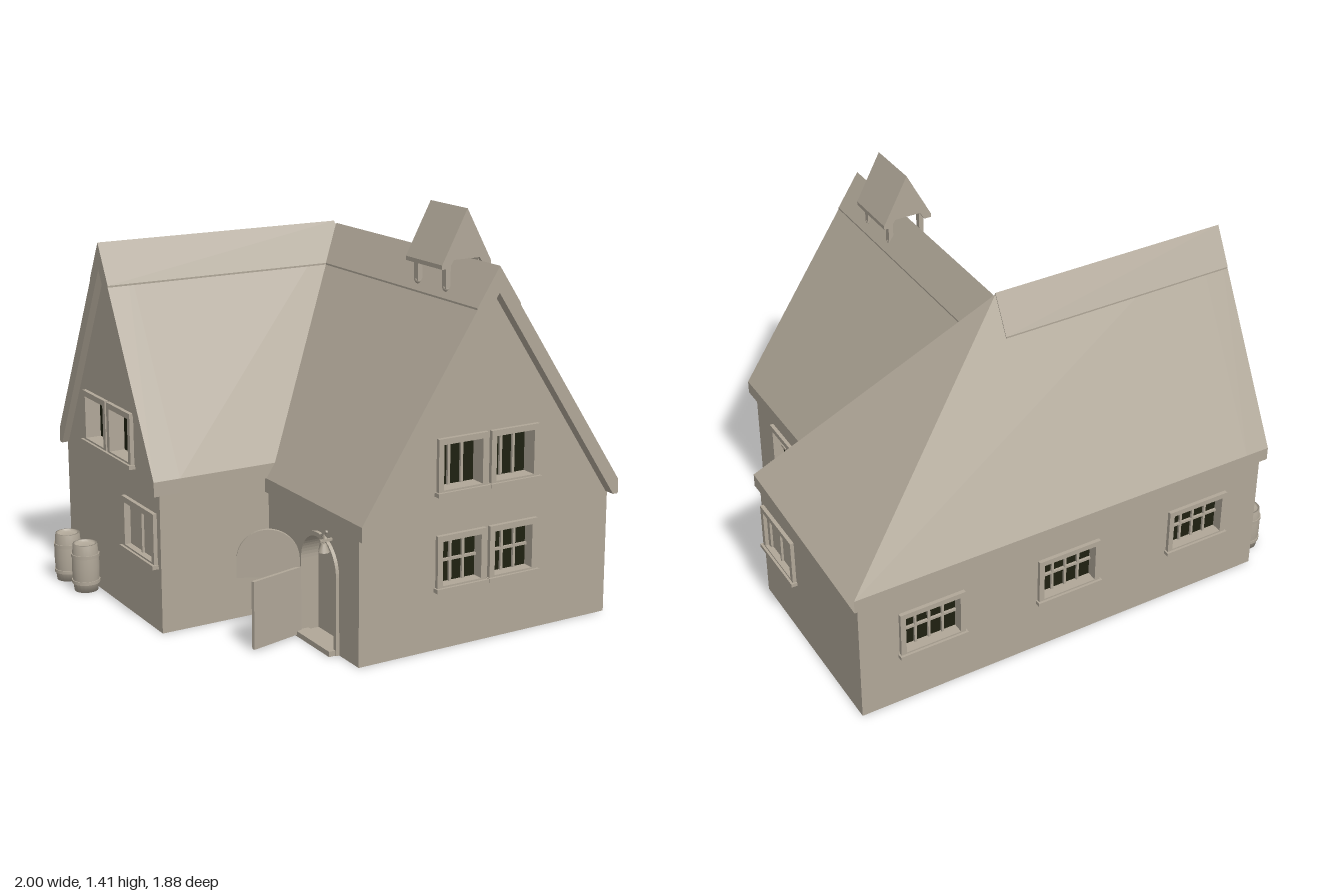
import * as THREE from 'three';

const plaster = new THREE.MeshStandardMaterial({ name: 'taupe plaster', color: 0xb0a798 });
const glassMat = new THREE.MeshStandardMaterial({ name: 'dark glass', color: 0x1e2010 });

function add(parent, name, geo, mat = plaster, x = 0, y = 0, z = 0) {
  const m = new THREE.Mesh(geo, mat);
  m.name = name;
  m.position.set(x, y, z);
  parent.add(m);
  return m;
}
const box = (w, h, d) => new THREE.BoxGeometry(w, h, d);
const poly = (pts) => new THREE.Shape(pts.map(([x, y]) => new THREE.Vector2(x, y)));
const rect = (x, y, w, h) => poly([[x - w / 2, y - h / 2], [x + w / 2, y - h / 2], [x + w / 2, y + h / 2], [x - w / 2, y + h / 2]]);

// Extrude a shape from z0 to z1
function extrude(shape, z0, z1) {
  return new THREE.ExtrudeGeometry(shape, { depth: z1 - z0, bevelEnabled: false, curveSegments: 14 }).translate(0, 0, z0);
}

// Round-headed outline
function arch(x0, x1, y0, spring) {
  const r = (x1 - x0) / 2;
  const s = new THREE.Shape();
  s.moveTo(x0, y0);
  s.lineTo(x1, y0);
  s.lineTo(x1, spring);
  s.absarc(x0 + r, spring, r, 0, Math.PI, false);
  s.lineTo(x0, y0);
  return s;
}

// Wall slab: local x runs along the wall, local z points outward
const WALL = 0.06;
function wall(house, name, angle, x, z, pts, windows = [], door = null) {
  const g = new THREE.Group();
  g.name = name;
  g.rotation.y = angle;
  g.position.set(x, 0, z);
  house.add(g);
  const shape = poly(pts);
  for (const w of windows) shape.holes.push(rect(w.s, w.y, w.w - 0.03, w.h - 0.03));
  if (door) shape.holes.push(door);
  add(g, name + 'Panel', extrude(shape, -WALL, 0));
  windows.forEach((w) => windowUnit(g, w));
  return g;
}

// Framed window with recessed panes, or closed panels when blank
function windowUnit(g, { s, y, w, h, cols, rows = 1, depth = 0.03, blank = false }) {
  const frame = rect(s, y, w, h);
  const iw = w - 0.04, ih = h - 0.04;
  frame.holes.push(rect(s, y, iw, ih));
  add(g, 'windowFrame', extrude(frame, -depth, 0.014));
  add(g, 'windowSill', box(w + 0.012, 0.014, 0.03), plaster, s, y - h / 2 + 0.007, 0.008);
  add(g, blank ? 'shutterPanel' : 'windowPane', box(iw, ih, 0.006), blank ? plaster : glassMat, s, y, -depth);
  for (let i = 1; i < cols; i++)
    add(g, 'mullion', box(0.009, ih, 0.012), plaster, s - iw / 2 + (iw * i) / cols, y, -depth + 0.006);
  for (let i = 1; i < rows; i++)
    add(g, 'glazingBar', box(iw, 0.009, 0.012), plaster, s, y - ih / 2 + (ih * i) / rows, -depth + 0.006);
}

// Pitched roof: solid body, overhanging verge and raised ridge course
function roof(house, name, { half, eave, ridge, thick, back, verge, front, hip = 0 }) {
  const g = new THREE.Group();
  g.name = name;
  house.add(g);
  const low = eave - 0.05, slope = (ridge - eave) / half;
  const body = extrude(poly([[-half, low], [half, low], [half, eave], [0, ridge], [-half, eave]]), back, front);
  // Slant the back end into a hip
  const p = body.attributes.position;
  for (let i = 0; i < p.count; i++)
    if (p.getZ(i) < back + 0.001)
      p.setZ(i, back - hip * Math.min(1, (ridge - p.getY(i)) / (ridge - eave)));
  const flat = body.toNonIndexed ? (body.index ? body.toNonIndexed() : body) : body;
  flat.computeVertexNormals();
  add(g, name + 'Body', flat);
  const inner = (ridge - thick - low) / slope;
  add(g, name + 'Verge', extrude(poly([[-half, low], [-inner, low], [0, ridge - thick], [inner, low],
    [half, low], [half, eave], [0, ridge], [-half, eave]]), front, verge));
  const c = (ridge - 1.12) / slope;
  add(g, name + 'RidgeCourse', extrude(poly([[-c, 1.11], [0, ridge - 0.01], [c, 1.11], [c, 1.126],
    [0, ridge + 0.006], [-c, 1.126]]), back, verge));
  return g;
}

function barrel(parent, x, z) {
  const g = new THREE.Group();
  g.name = 'barrel';
  g.position.set(x, 0, z);
  parent.add(g);
  const pts = [[0, 0], [0.042, 0], [0.047, 0.04], [0.049, 0.085], [0.047, 0.13], [0.043, 0.172], [0.037, 0.172], [0.037, 0.162], [0, 0.162]];
  add(g, 'barrelStaves', new THREE.LatheGeometry(pts.map(([a, b]) => new THREE.Vector2(a, b)), 20));
  for (const y of [0.035, 0.13])
    add(g, 'barrelHoop', new THREE.CylinderGeometry(0.05, 0.05, 0.012, 20), plaster, 0, y, 0);
}

export function createModel() {
  const model = new THREE.Group();
  model.name = 'cottage';
  const house = new THREE.Group();
  house.name = 'house';
  house.rotation.y = -Math.PI / 4;
  model.add(house);
  const Q = Math.PI / 2;
  const run = (a, b, h) => [[a, 0], [b, 0], [b, h], [a, h]];

  // Window groups
  const small = { w: 0.19, h: 0.19 };
  const upper = (s) => ({ ...small, s, y: 0.617, cols: 3, depth: 0.045 });
  const lower = (s) => ({ ...small, s, y: 0.295, cols: 3, rows: 2 });
  const wide = (s) => ({ s, y: 0.3, w: 0.25, h: 0.19, cols: 4, rows: 2 });
  const closed = (s) => ({ s, y: 0.315, w: 0.25, h: 0.19, cols: 2, depth: 0.012, blank: true });

  // Wing walls
  wall(house, 'wingGable', Q, 0.82, 0,
    [[-0.445, 0], [0.537, 0], [0.537, 0.44], [0.046, 1.19], [-0.445, 0.44]],
    [upper(-0.062), upper(0.142), lower(-0.062), lower(0.142)]);
  const entry = wall(house, 'wingDoorWall', 0, 0, 0.445, run(0.235, 0.82, 0.45), [], arch(0.475, 0.685, 0.012, 0.265));
  wall(house, 'wingRearWall', Math.PI, 0, -0.537, run(-0.82, -0.235, 0.45), [lower(-0.58)]);

  // Main walls
  wall(house, 'mainGable', 0, 0, 0.85,
    [[-0.53, 0], [0.235, 0], [0.235, 0.49], [-0.147, 1.19], [-0.53, 0.49]],
    [upper(-0.252), upper(-0.05), closed(0.085)]);
  wall(house, 'mainCourtWall', Q, 0.235, 0, run(-0.85, 0.785, 0.49));
  wall(house, 'mainHipWall', Math.PI, 0, -0.785, run(-0.235, 0.53, 0.49), [closed(-0.09)]);
  wall(house, 'mainLongWall', -Q, -0.53, 0, run(-0.785, 0.85, 0.49), [wide(-0.51), wide(0.035), wide(0.58)]);
  add(house, 'mainFloor', box(0.76, 0.01, 1.63), plaster, -0.147, 0.006, 0.032);
  add(house, 'wingFloor', box(0.62, 0.01, 0.975), plaster, 0.508, 0.006, -0.046);

  // Roofs
  roof(house, 'mainRoof', { half: 0.394, eave: 0.53, ridge: 1.255, thick: 0.085, back: -0.04, front: 0.78, verge: 0.875, hip: 0.76 })
    .position.x = -0.147;
  const wingRoof = roof(house, 'wingRoof', { half: 0.505, eave: 0.48, ridge: 1.247, thick: 0.08, back: -0.14, front: 0.75, verge: 0.86 });
  wingRoof.rotation.y = Q;
  wingRoof.position.z = -0.046;

  // Doorway with round head, step and two open half leaves
  const trim = arch(0.46, 0.7, 0, 0.265);
  trim.holes.push(arch(0.475, 0.685, 0.004, 0.265));
  add(entry, 'doorFrame', extrude(trim, -0.02, 0.012));
  add(entry, 'doorwayBack', box(0.24, 0.4, 0.008), plaster, 0.58, 0.2, -0.058);
  add(entry, 'doorStep', box(0.23, 0.018, 0.05), plaster, 0.58, 0.009, 0.01);
  const leaf = (name, shape, angle) => {
    add(house, name, extrude(shape, -0.006, 0.006), plaster, 0.476, 0, 0.462).rotation.y = angle;
  };
  leaf('upperDoorLeaf', arch(0, 0.208, 0.205, 0.265), Math.atan2(-0.185, -0.096));
  leaf('lowerDoorLeaf', rect(0.104, 0.122, 0.208, 0.232), Math.atan2(-0.203, 0.049));

  // Hanging door bell on a bracket
  const bell = new THREE.Group();
  bell.name = 'doorBell';
  bell.position.set(0.655, 0.37, 0.475);
  house.add(bell);
  add(bell, 'bellCup', new THREE.CylinderGeometry(0.008, 0.019, 0.028, 12), plaster, 0, -0.012, 0);
  add(bell, 'bellBracket', box(0.008, 0.008, 0.05), plaster, 0, 0.012, -0.01);
  add(bell, 'bellHanger', box(0.006, 0.035, 0.006), plaster, 0, 0.02, 0);
  add(bell, 'bellArm', box(0.045, 0.007, 0.007), plaster, 0, 0.035, 0).rotation.z = 0.6;

  // Little gabled cote straddling the wing ridge
  const cote = new THREE.Group();
  cote.name = 'ridgeCote';
  cote.rotation.y = Q;
  cote.position.set(0.58, 0, -0.04);
  house.add(cote);
  add(cote, 'coteRoof', extrude(poly([[-0.095, 1.222], [-0.068, 1.222], [-0.05, 1.25], [0.05, 1.25],
    [0.068, 1.222], [0.095, 1.222], [0.095, 1.236], [0, 1.412], [-0.095, 1.236]]), -0.106, 0.106));
  for (const sx of [-1, 1])
    for (const sz of [-1, 1]) {
      add(cote, 'cotePost', box(0.018, 0.09, 0.022), plaster, sx * 0.062, 1.2, sz * 0.082);
      add(cote, 'cotePostFoot', new THREE.SphereGeometry(0.012, 10, 8), plaster, sx * 0.062, 1.156, sz * 0.082);
    }

  barrel(model, -0.945, 0.335);
  barrel(model, -0.84, 0.43);
  return model;
}
